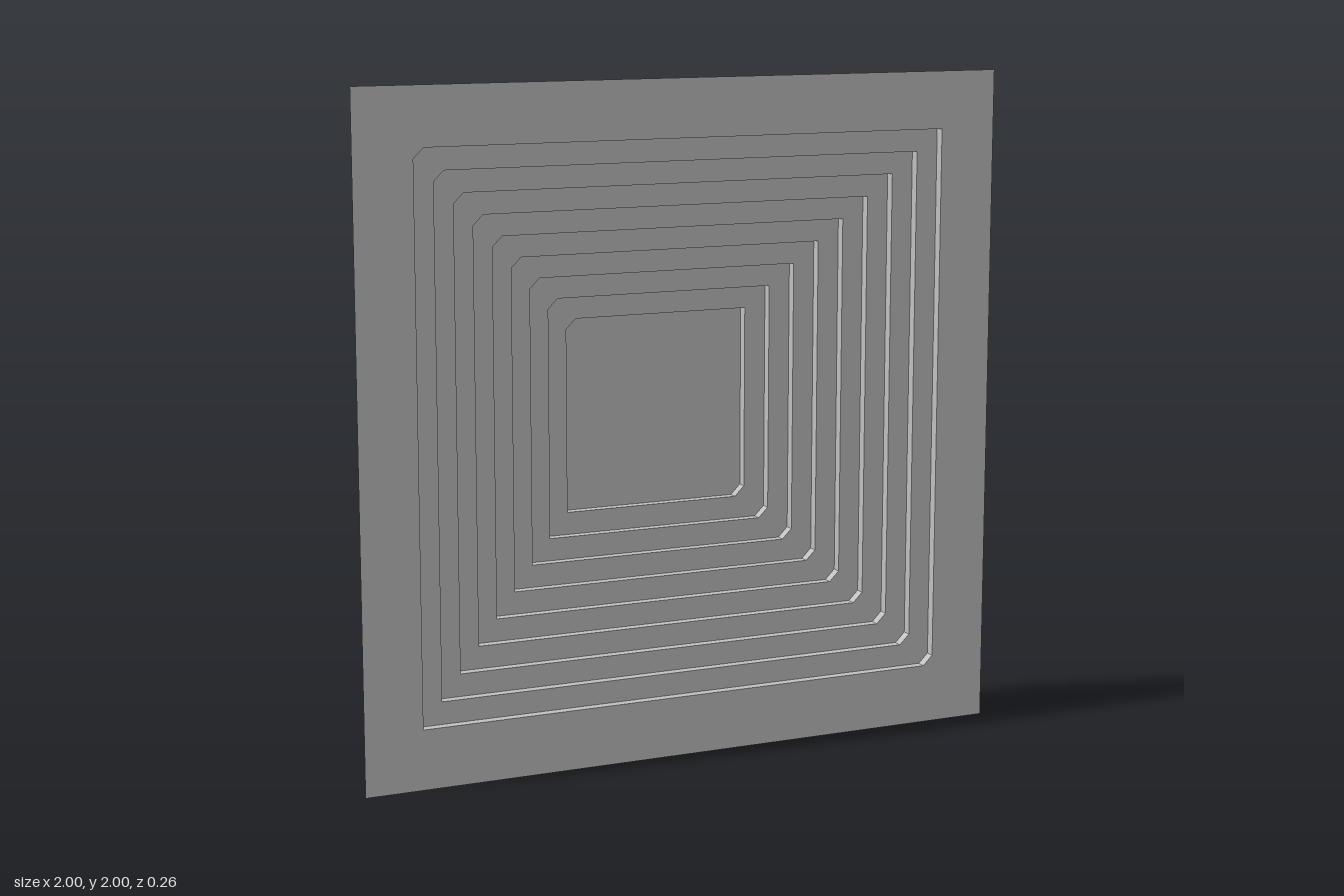
import * as THREE from 'three';

const STEPS = 9, FRONT_Z = 0.13, DEPTH = 0.26 / STEPS;
const OUTER = 0.825, SHRINK = 0.067, CUT = 0.03, CENTRE_Y = 1.004;

// Square outline, counter-clockwise, with upper-left and lower-right corners cut
function outline(h, cut = CUT) {
  return [[-h, -h], [h - cut, -h], [h, -h + cut], [h, h], [-h + cut, h], [-h, h - cut]]
    .map(([x, y]) => new THREE.Vector2(x, y + CENTRE_Y));
}

// Flat sheet facing the front, optionally with a hole
function sheet(points, z, hole) {
  const shape = new THREE.Shape(points);
  if (hole) shape.holes.push(new THREE.Path(hole));
  return new THREE.ShapeGeometry(shape).translate(0, 0, z);
}

// Thin wall following an outline from z0 back to z1, facing inward
function wall(points, z0, z1) {
  const pos = [];
  points.forEach((a, i) => {
    const b = points[(i + 1) % points.length];
    pos.push(a.x, a.y, z0, b.x, b.y, z0, b.x, b.y, z1);
    pos.push(a.x, a.y, z0, b.x, b.y, z1, a.x, a.y, z1);
  });
  const g = new THREE.BufferGeometry();
  g.setAttribute('position', new THREE.Float32BufferAttribute(pos, 3));
  g.computeVertexNormals();
  return g;
}

export function createModel() {
  const group = new THREE.Group();
  group.name = 'steppedPanel';
  const grey = new THREE.MeshStandardMaterial({ color: 0xc0c0c0, side: THREE.DoubleSide });
  grey.name = 'plain grey';
  const add = (name, geometry) => {
    const mesh = new THREE.Mesh(geometry, grey);
    mesh.name = name;
    group.add(mesh);
  };

  // Wide flat border around the recess
  const border = [[-1, 0], [1, 0], [1, 2], [-1, 2]].map(([x, y]) => new THREE.Vector2(x, y));
  add('border', sheet(border, FRONT_Z, outline(OUTER)));

  // Each step is a wall going back, then a narrow ledge; the last one ends in a flat panel
  for (let i = 0; i < STEPS; i++) {
    const ring = outline(OUTER - SHRINK * i);
    const z = FRONT_Z - DEPTH * i;
    const last = i === STEPS - 1;
    add(`stepWall${i + 1}`, wall(ring, z, z - DEPTH));
    add(last ? 'centrePanel' : `ledge${i + 1}`,
      sheet(ring, z - DEPTH, last ? null : outline(OUTER - SHRINK * (i + 1))));
  }
  return group;
}
